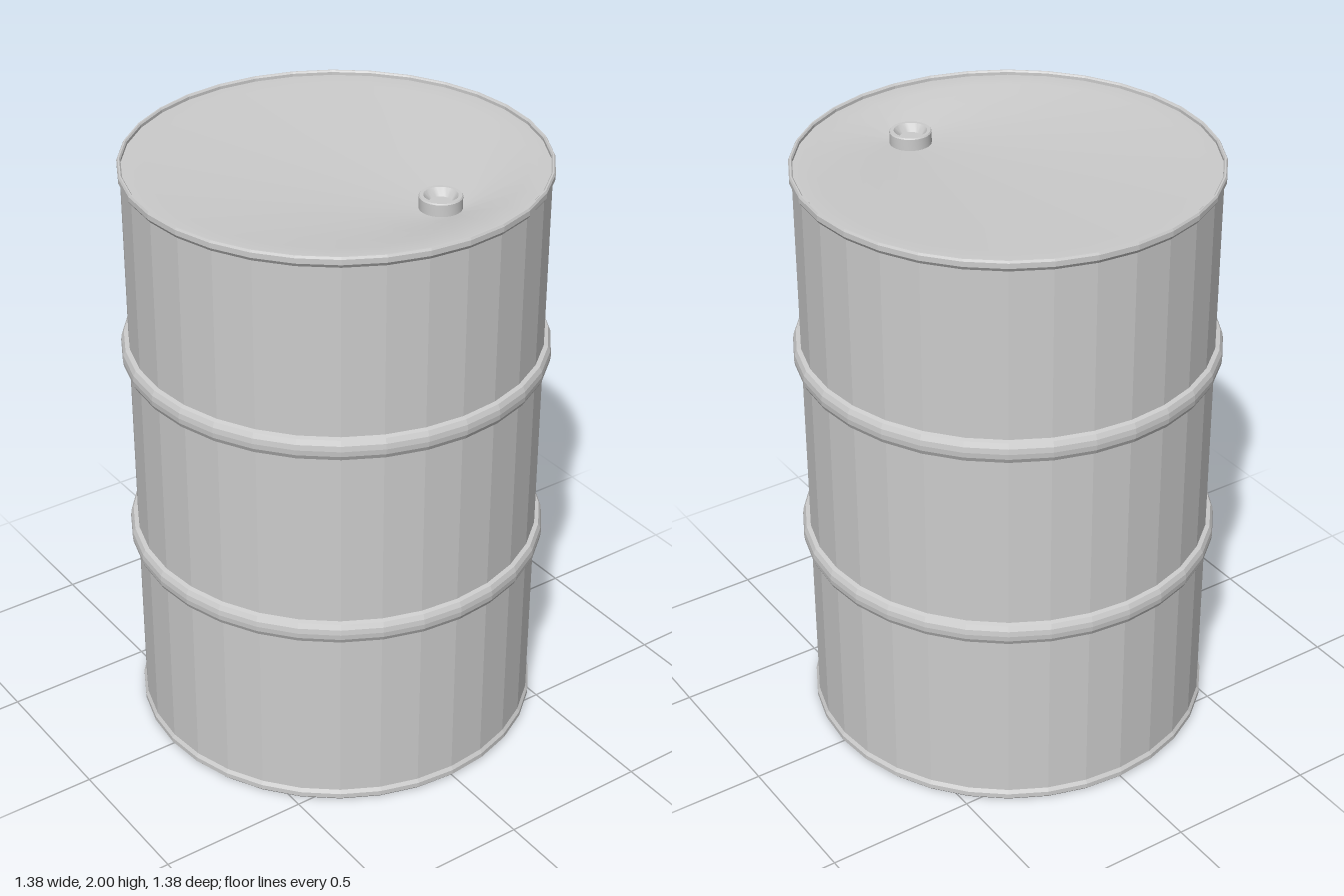
import * as THREE from 'three';
import { toCreasedNormals } from 'three/addons/utils/BufferGeometryUtils.js';

const SIDES = 32;
const LID_Y = 1.985;
const BUNG = { x: 0.123, z: 0.37, y: 1.94, r: 0.067 };

const material = new THREE.MeshStandardMaterial({ color: 0xcccccc });
const flatMaterial = new THREE.MeshStandardMaterial({ color: 0xcccccc, flatShading: true });

function lathe(points, sides) {
  return new THREE.LatheGeometry(points.map(([r, y]) => new THREE.Vector2(r, y)), sides);
}

// Half-round hoop bulging from the wall, from bottom to top
function hoop(y) {
  return [[0.667, -0.038], [0.681, -0.034], [0.689, -0.018], [0.691, 0],
    [0.689, 0.018], [0.681, 0.034], [0.667, 0.038]].map(([r, dy]) => [r, y + dy]);
}

// Lid: rings from the outer rim inwards, the last one dipping to the off-centre bung
function lidGeometry() {
  const rings = [
    { x: 0, z: 0, r: 0.662, y: LID_Y },
    { x: 0, z: 0, r: 0.59, y: LID_Y },
    BUNG,
  ];
  const positions = [];
  const index = [];
  rings.forEach((ring, k) => {
    for (let i = 0; i < SIDES; i++) {
      const a = (i / SIDES) * Math.PI * 2;
      positions.push(ring.x + Math.sin(a) * ring.r, ring.y, ring.z + Math.cos(a) * ring.r);
      if (k === 0) continue;
      const j = (i + 1) % SIDES;
      const outer = (k - 1) * SIDES, inner = k * SIDES;
      index.push(outer + i, outer + j, inner + j, outer + i, inner + j, inner + i);
    }
  });
  const geometry = new THREE.BufferGeometry();
  geometry.setAttribute('position', new THREE.Float32BufferAttribute(positions, 3));
  geometry.setIndex(index);
  geometry.computeVertexNormals();
  return geometry;
}

export function createModel() {
  const model = new THREE.Group();
  model.name = 'drum';

  const add = (name, geometry, mat) => {
    const mesh = new THREE.Mesh(geometry, mat);
    mesh.name = name;
    model.add(mesh);
    return mesh;
  };

  // Wall with closed base, end rims and two rolling hoops
  add('body', lathe([
    [0, 0], [0.668, 0], [0.675, 0.008], [0.675, 0.024], [0.667, 0.036],
    ...hoop(0.683), ...hoop(1.36),
    [0.667, 1.964], [0.675, 1.976], [0.675, 1.993], [0.671, 2],
    [0.666, 2], [0.662, 1.995], [0.662, LID_Y],
  ], SIDES), flatMaterial);

  add('lid', lidGeometry(), material);

  // Bung: short collar with a tapered hole
  const bung = lathe([
    [BUNG.r, 0], [BUNG.r, 0.038], [0.064, 0.042], [0.053, 0.042], [0.036, 0.018], [0, 0.018],
  ], SIDES);
  add('bung', toCreasedNormals(bung, 0.5), material).position.set(BUNG.x, BUNG.y, BUNG.z);

  return model;
}
